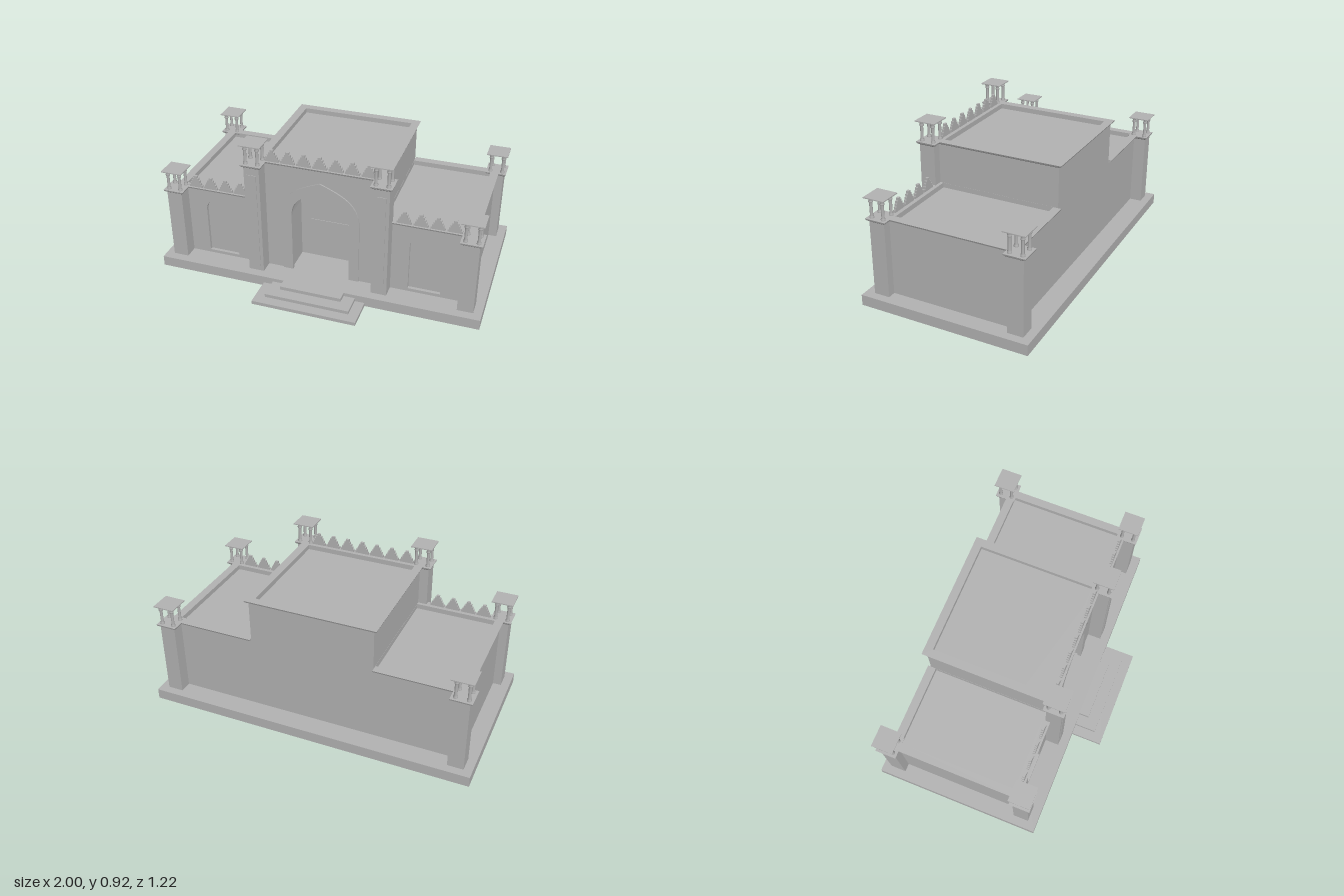
import * as THREE from 'three';

const stone = new THREE.MeshStandardMaterial({ color: 0xb2b2b2 });
stone.name = 'stone grey';

function add(parent, name, geometry) {
  const mesh = new THREE.Mesh(geometry, stone);
  mesh.name = name;
  parent.add(mesh);
  return mesh;
}

// Box given by its limits on each axis
function block(parent, name, x0, x1, y0, y1, z0, z1) {
  const g = new THREE.BoxGeometry(x1 - x0, y1 - y0, z1 - z0);
  g.translate((x0 + x1) / 2, (y0 + y1) / 2, (z0 + z1) / 2);
  return add(parent, name, g);
}

const toPoints = list => list.map(([x, y]) => new THREE.Vector2(x, y));
const rect = (x0, x1, y0, y1) => toPoints([[x0, y0], [x1, y0], [x1, y1], [x0, y1]]);

// Extruded shape standing upright between two z values
function plate(parent, name, points, z0, z1, holes = []) {
  const shape = new THREE.Shape(points);
  holes.forEach(h => shape.holes.push(new THREE.Path(h)));
  const g = new THREE.ExtrudeGeometry(shape, { depth: z1 - z0, bevelEnabled: false });
  g.translate(0, 0, z0);
  return add(parent, name, g);
}

// Pointed arch outline, from the left foot over the apex to the right foot
function arch(cx, w, foot, spring, apex) {
  const h = apex - spring;
  const half = new THREE.CubicBezierCurve(
    new THREE.Vector2(w, spring), new THREE.Vector2(w, spring + 0.65 * h),
    new THREE.Vector2(w * 0.5, spring + 0.8 * h), new THREE.Vector2(0, apex)).getPoints(14);
  const right = [new THREE.Vector2(w, foot), ...half];
  const left = right.slice(0, -1).map(p => new THREE.Vector2(-p.x, p.y));
  return [...left, ...right.reverse()].map(p => new THREE.Vector2(p.x + cx, p.y));
}

// Cornice that flares outwards; inner is the opening of a parapet ring
function cornice(parent, name, [x0, x1, z0, z1], y, flare, inner, flareLeft = true, flareRight = true) {
  const shape = new THREE.Shape(rect(x0, x1, -z1, -z0));
  if (inner) shape.holes.push(new THREE.Path(rect(inner[0], inner[1], -inner[3], -inner[2])));
  const g = new THREE.ExtrudeGeometry(shape, { depth: 0.03, steps: 3, bevelEnabled: false });
  g.rotateX(-Math.PI / 2);
  const p = g.attributes.position;
  const near = (a, b) => Math.abs(a - b) < 1e-5;
  for (let i = 0; i < p.count; i++) {
    const f = flare * [0, 0, 0.8, 1][Math.round(p.getY(i) / 0.01)];
    const x = p.getX(i), z = p.getZ(i);
    if (near(x, x0) && flareLeft) p.setX(i, x - f);
    if (near(x, x1) && flareRight) p.setX(i, x + f);
    if (near(z, z0)) p.setZ(i, z - f);
    if (near(z, z1)) p.setZ(i, z + f);
  }
  g.computeVertexNormals();
  g.translate(0, y, 0);
  return add(parent, name, g);
}

// Stepped merlon silhouette
function merlon(parent, cx, y) {
  const widths = [0.043, 0.035, 0.027, 0.019, 0.01], h = 0.015;
  const right = [], left = [];
  widths.forEach((w, i) => {
    right.push([cx + w, y + i * h], [cx + w, y + (i + 1) * h]);
    left.unshift([cx - w, y + (i + 1) * h], [cx - w, y + i * h]);
  });
  plate(parent, 'merlon', toPoints([...right, ...left]), 0.273, 0.288);
}

// Small open pavilion on four columns
function kiosk(parent, x, y, z) {
  const group = new THREE.Group();
  group.name = 'kiosk';
  group.position.set(x, y, z);
  parent.add(group);
  const profile = toPoints([[0.013, 0], [0.013, 0.01], [0.009, 0.016], [0.009, 0.088],
    [0.013, 0.094], [0.013, 0.1], [0.01, 0.104], [0.014, 0.116]]);
  for (const sx of [-1, 1]) for (const sz of [-1, 1]) {
    const column = add(group, 'kioskColumn', new THREE.LatheGeometry(profile, 10));
    column.position.set(sx * 0.037, 0, sz * 0.037);
  }
  const eave = new THREE.CylinderGeometry(0.064 * Math.SQRT2, 0.05 * Math.SQRT2, 0.007, 4, 1).toNonIndexed();
  eave.rotateY(Math.PI / 4);
  eave.computeVertexNormals();
  eave.translate(0, 0.1185, 0);
  add(group, 'kioskEave', eave);
  block(group, 'kioskRoof', -0.065, 0.065, 0.121, 0.127, -0.065, 0.065);
}

// Square corner tower with cornice and kiosk
function tower(parent, x, z, top) {
  const h = 0.0475;
  block(parent, 'tower', x - h, x + h, 0.065, top - 0.03, z - h, z + h);
  cornice(parent, 'towerCornice', [x - h, x + h, z - h, z + h], top - 0.03, 0.016);
  kiosk(parent, x, top, z);
}

export function createModel() {
  const model = new THREE.Group();
  model.name = 'gatehouse';
  const LOW = 0.535, HIGH = 0.795, FLOOR = 0.065;

  // Plinth and front steps
  block(model, 'plinth', -1, 1, 0, FLOOR, -0.61, 0.42);
  [[0.32, 0.022, 0.61], [0.26, 0.043, 0.55], [0.19, FLOOR, 0.48]].forEach(([w, y, z]) =>
    block(model, 'step', -w, w, 0, y, 0.42, z));

  // Central hall with deep arched porch
  block(model, 'hall', -0.38, 0.38, FLOOR, HIGH - 0.03, -0.485, 0.10);
  plate(model, 'porchWall', [...toPoints([[-0.38, FLOOR]]), ...arch(0, 0.187, FLOOR, 0.45, 0.645),
    ...toPoints([[0.38, FLOOR], [0.38, HIGH - 0.03], [-0.38, HIGH - 0.03]])], 0.10, 0.28);
  plate(model, 'archBand', [...arch(0, 0.24, FLOOR, 0.45, 0.70),
    ...arch(0, 0.178, FLOOR, 0.45, 0.635).reverse()], 0.265, 0.288);
  block(model, 'doorLintel', -0.125, 0.125, 0.326, 0.331, 0.10, 0.104);
  cornice(model, 'hallParapet', [-0.38, 0.38, -0.485, 0.28], HIGH - 0.03, 0.02, [-0.35, 0.35, -0.455, 0.25]);
  for (let i = -3; i <= 3; i++) merlon(model, i * 0.097, HIGH);

  for (const s of [-1, 1]) {
    const span = (a, b) => s > 0 ? [a, b] : [-b, -a];

    // Side wing with shallow arched niche
    block(model, 'wing', ...span(0.38, 0.90), FLOOR, LOW - 0.03, -0.485, 0.26);
    plate(model, 'wingFrontWall', rect(...span(0.38, 0.90), FLOOR, LOW - 0.03), 0.26, 0.28,
      [arch(s * 0.64, 0.098, 0.085, 0.38, 0.475)]);
    cornice(model, 'wingParapet', [...span(0.38, 0.90), -0.485, 0.28], LOW - 0.03, 0.02,
      [...span(0.381, 0.87), -0.455, 0.25], s < 0, s > 0);
    for (let i = 0; i < 4; i++) merlon(model, s * (0.503 + i * 0.097), LOW);

    // Towers, with a thin panel on those beside the porch
    tower(model, s * 0.9025, 0.3175, LOW);
    tower(model, s * 0.9025, -0.5125, LOW);
    tower(model, s * 0.3875, 0.3175, HIGH);
    block(model, 'towerPanel', s * 0.3875 - 0.028, s * 0.3875 + 0.028, 0.1, 0.73, 0.365, 0.369);
  }
  return model;
}
